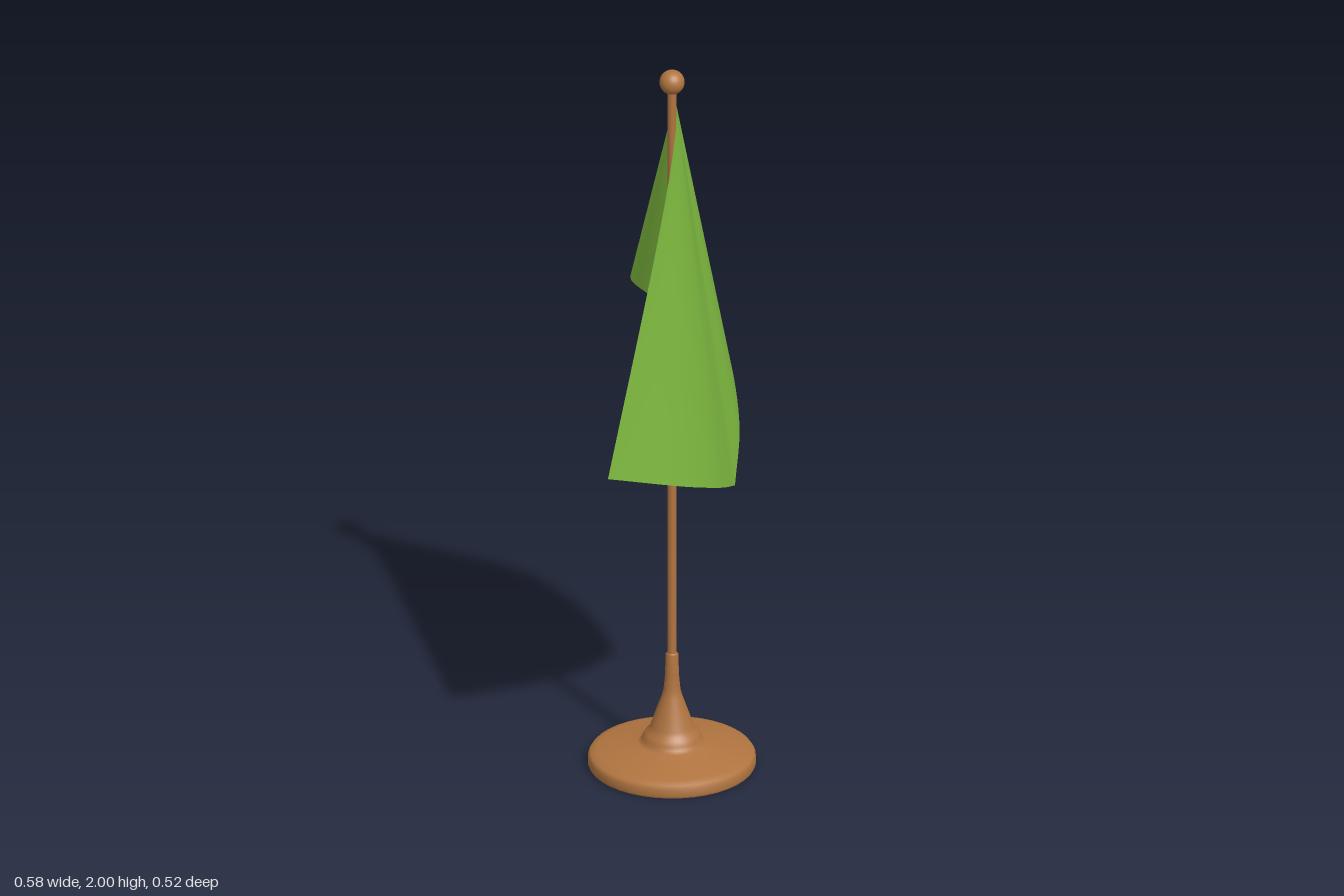
import * as THREE from 'three';

const wood = new THREE.MeshStandardMaterial({ color: 0xb07440 });
wood.name = 'brown wood';
const cloth = new THREE.MeshStandardMaterial({ color: 0x7fba40, side: THREE.DoubleSide });
cloth.name = 'green cloth';

const POLE_X = 0.01, POLE_Z = 0.038;

const curve = (pts) => new THREE.CatmullRomCurve3(pts.map((p) => new THREE.Vector3(...p)));

// Draped cloth: straight rulings fan out from the top hoist corner to the free edges
function flagGeometry() {
  const apex = new THREE.Vector3(0.025, 1.91, 0.03);
  const flyEdge = curve([
    [-0.29, 0.96, 0.195], [-0.03, 0.857, 0.16], [0.1, 0.80, 0.11],
    [0.165, 0.765, 0.06], [0.23, 0.73, 0],
  ]);
  const lowerEdge = curve([
    [0.23, 0.73, 0], [0.27, 0.86, -0.04], [0.29, 0.96, -0.09], [0.293, 1.04, -0.13],
    [0.285, 1.11, -0.175], [0.26, 1.17, -0.21], [0.235, 1.21, -0.235], [0.175, 1.25, -0.26],
    [0.11, 1.28, -0.26], [0.07, 1.29, -0.24], [0.04, 1.30, -0.21], [0.02, 1.305, -0.17],
    [0.01, 1.31, -0.12], [0.01, 1.31, 0.03],
  ]);
  const rim = [...flyEdge.getSpacedPoints(20), ...lowerEdge.getSpacedPoints(36).slice(1)];
  const rows = 16, cols = rim.length;
  const pos = [], idx = [];
  for (let r = 0; r <= rows; r++) {
    const t = 0.01 + 0.99 * (r / rows);
    rim.forEach((p, c) => {
      const v = apex.clone().lerp(p, t);
      // the hanging top edge bows gently forward
      const w = Math.max(0, 1 - c / 20);
      v.z += 0.035 * w * Math.sin(Math.PI * Math.sqrt(t));
      pos.push(v.x, v.y, v.z);
      if (r < rows && c < cols - 1) {
        const a = r * cols + c, b = a + cols;
        idx.push(a, b, a + 1, a + 1, b, b + 1);
      }
    });
  }
  const g = new THREE.BufferGeometry();
  g.setAttribute('position', new THREE.Float32BufferAttribute(pos, 3));
  g.setIndex(idx);
  g.computeVertexNormals();
  return g;
}

export function createModel() {
  const group = new THREE.Group();
  group.name = 'tableFlag';
  const add = (name, geometry, material, x = 0, y = 0, z = 0) => {
    const mesh = new THREE.Mesh(geometry, material);
    mesh.name = name;
    mesh.position.set(x, y, z);
    group.add(mesh);
  };

  // Flat underside and turned stand
  add('baseUnderside', new THREE.CircleGeometry(0.217, 40).rotateX(Math.PI / 2), wood, POLE_X, 0, POLE_Z);
  const profile = [
    [0.217, 0], [0.22, 0.006], [0.219, 0.025], [0.213, 0.034], [0.195, 0.041], [0.13, 0.055],
    [0.088, 0.063], [0.079, 0.07], [0.077, 0.08], [0.07, 0.092], [0.062, 0.1], [0.056, 0.112],
    [0.043, 0.15], [0.027, 0.195], [0.022, 0.215], [0.018, 0.26], [0.017, 0.315], [0.012, 0.32],
  ].map(([r, y]) => new THREE.Vector2(r, y));
  add('base', new THREE.LatheGeometry(profile, 40), wood, POLE_X, 0, POLE_Z);

  // Pole and finial
  add('pole', new THREE.CylinderGeometry(0.012, 0.012, 1.65, 16, 1, true), wood, POLE_X, 1.125, POLE_Z);
  add('finial', new THREE.SphereGeometry(0.033, 24, 16), wood, POLE_X, 1.967, POLE_Z);

  add('flag', flagGeometry(), cloth);
  return group;
}
